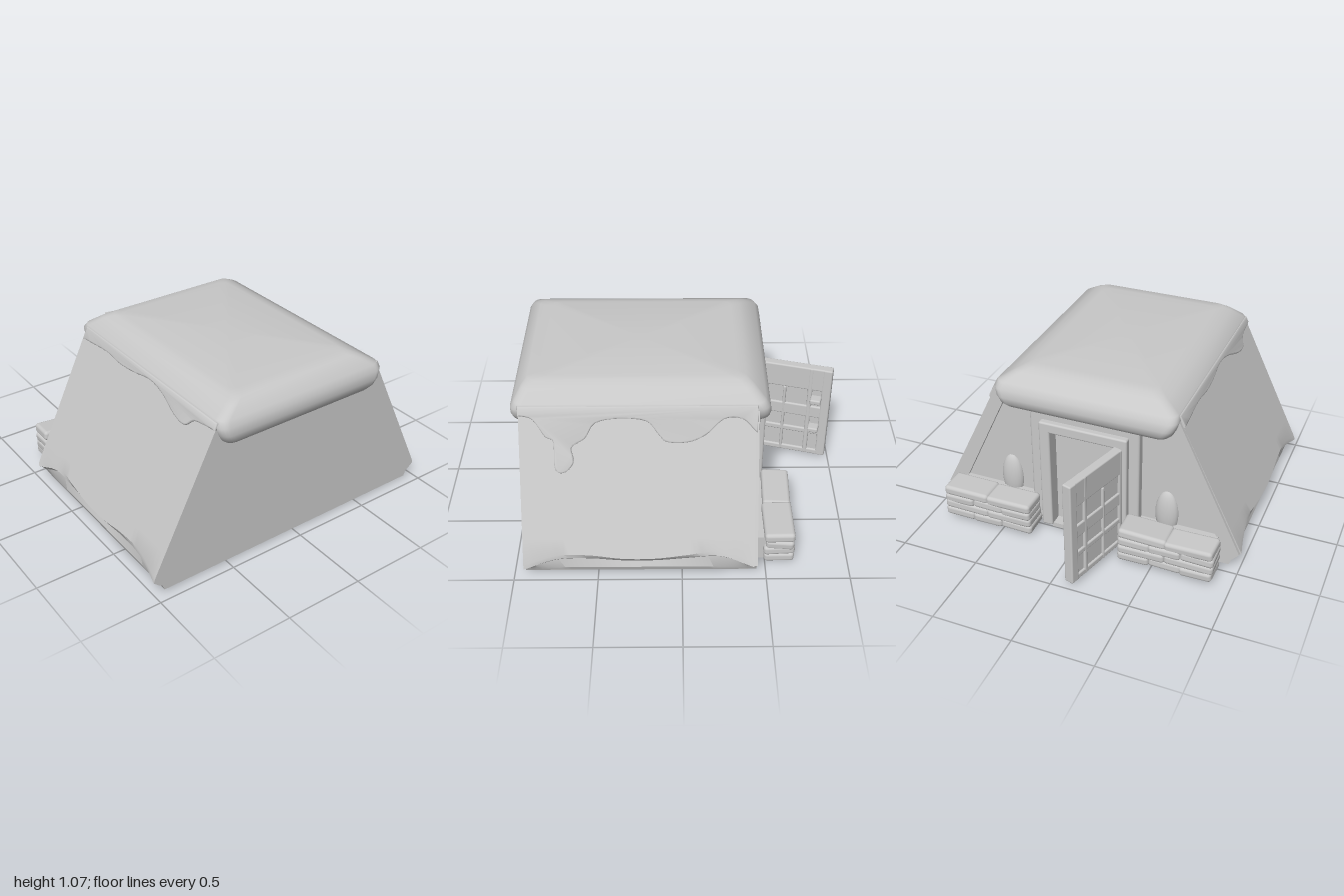
import * as THREE from 'three';
import { toCreasedNormals } from 'three/addons/utils/BufferGeometryUtils.js';
import { RoundedBoxGeometry } from 'three/addons/geometries/RoundedBoxGeometry.js';

const stone = new THREE.MeshStandardMaterial({ color: 0xc8c8c8 });
stone.name = 'pale grey';

function add(parent, name, geometry, x = 0, y = 0, z = 0) {
  const mesh = new THREE.Mesh(geometry, stone);
  mesh.name = name;
  mesh.position.set(x, y, z);
  parent.add(mesh);
  return mesh;
}

// Skin through closed rings, with both ends filled
function loft(rings, crease) {
  const n = rings[0].length, pos = rings.flat(2), index = [];
  for (let i = 0; i < rings.length - 1; i++) {
    for (let j = 0; j < n; j++) {
      const a = i * n + j, b = i * n + (j + 1) % n;
      index.push(a, a + n, b, b, a + n, b + n);
    }
  }
  [0, rings.length - 1].forEach((r, end) => {
    const centre = pos.length / 3;
    for (let k = 0; k < 3; k++) pos.push(rings[r].reduce((s, p) => s + p[k], 0) / n);
    for (let j = 0; j < n; j++) {
      const a = r * n + j, b = r * n + (j + 1) % n;
      if (end) index.push(centre, b, a);
      else index.push(centre, a, b);
    }
  });
  const g = new THREE.BufferGeometry();
  g.setAttribute('position', new THREE.Float32BufferAttribute(pos, 3));
  g.setIndex(index);
  return toCreasedNormals(g, crease);
}

// Sloping side wall, and the wavy groove near its foot
const sideX = (y) => 0.57 + (0.97 - y) * 0.494;
const groove = new THREE.SplineCurve([[0.93, 0.09], [0.8, 0.14], [0.6, 0.14], [0.4, 0.12], [0.2, 0.12],
  [0, 0.14], [-0.25, 0.16], [-0.44, 0.1]].map(([z, y]) => new THREE.Vector2(z, y)));

function section(t) {
  const g = groove.getPoint(t).y;
  const flare = 0.045 * Math.pow(Math.abs(2 * t - 1), 4);
  const half = [[0.93, 0.012], [0.945, 0.05], [0.93 + flare * 0.8, g - 0.03], [0.955 + flare, g],
    [sideX(g + 0.03), g + 0.03], [sideX(0.26), 0.26], [0.57, 0.97], [0.5, 1.0]];
  return [...half, ...half.slice().reverse().map(([x, y]) => [-x, y])];
}

// Rounded rectangle at one height
function capRing([y, hx, front, back, r]) {
  const ring = [];
  [[1, -1], [-1, -1], [-1, 1], [1, 1]].forEach(([sx, sz], q) => {
    const cx = sx * (hx - r), cz = sz > 0 ? front - r : back + r;
    for (let i = 0; i <= 5; i++) {
      const a = (q + i / 5) * Math.PI / 2;
      ring.push([cx + r * Math.cos(a), y, cz - r * Math.sin(a)]);
    }
  });
  return ring;
}

// Soft sheet hanging on the side wall; edge points are [z, y]
function drape(edge, side) {
  const curve = new THREE.SplineCurve(edge.map(([z, y]) => new THREE.Vector2(-side * z, y)));
  const pts = curve.getPoints(70);
  if (side < 0) pts.reverse();
  const first = pts[0].x, last = pts[pts.length - 1].x;
  const shape = new THREE.Shape([...pts, new THREE.Vector2(last, 0.965), new THREE.Vector2(first, 0.965)]);
  const g = new THREE.ExtrudeGeometry(shape, {
    depth: 0.006, bevelThickness: 0.008, bevelSize: 0.008, bevelSegments: 2,
  }).rotateY(Math.PI / 2);
  const p = g.attributes.position;
  for (let i = 0; i < p.count; i++) {
    const w = p.getX(i), y = p.getY(i);
    p.setXY(i, sideX(y) + w * 0.9, y + w * 0.44);
  }
  if (side < 0) g.rotateY(Math.PI);
  return toCreasedNormals(g, 0.9);
}

function sandbagPile(side) {
  const pile = new THREE.Group();
  pile.name = side > 0 ? 'leftSandbags' : 'rightSandbags';
  add(pile, 'pileCore', new THREE.BoxGeometry(0.53, 0.17, 0.2), side * 0.59, 0.115, -0.52);
  for (let row = 0; row < 4; row++) {
    const count = row % 2 ? 2 : 3, width = 0.59 / count;
    for (let i = 0; i < count; i++) {
      const k = Math.sin(row * 5.1 + i * 2.7 + side);
      const bag = add(pile, 'sandbag', new RoundedBoxGeometry(width + 0.01, 0.064, 0.18 + 0.014 * k, 3, 0.022),
        side * (0.295 + width * (i + 0.5)), 0.06 + row * 0.051, -0.582 + 0.008 * k);
      bag.rotation.set(k * 0.06, k * 0.05, k * 0.07);
    }
  }
  return pile;
}

function openDoor() {
  const door = new THREE.Group();
  door.name = 'openDoor';
  add(door, 'doorPanel', new THREE.BoxGeometry(0.47, 0.69, 0.034), 0.24, 0.38, 0);
  // Upright stiles: [centre, width, height]
  for (const [x, w, h] of [[0.015, 0.03, 0.7], [0.18, 0.02, 0.53], [0.345, 0.03, 0.7], [0.45, 0.06, 0.7]]) {
    add(door, 'stile', new RoundedBoxGeometry(w, h, 0.062, 2, 0.01), x, 0.03 + h / 2, 0);
  }
  // Cross rails: [bottom, top]
  for (const [a, b] of [[0.03, 0.07], [0.2, 0.24], [0.34, 0.43], [0.56, 0.73]]) {
    add(door, 'rail', new RoundedBoxGeometry(0.47, b - a, 0.058, 2, 0.01), 0.24, (a + b) / 2, 0);
  }
  for (const y of [0.27, 0.5]) {
    add(door, 'latch', new RoundedBoxGeometry(0.07, 0.035, 0.07, 2, 0.01), 0.39, y, 0.045);
  }
  door.position.set(-0.24, 0, -0.515);
  door.rotation.y = 1.3;
  return door;
}

export function createModel() {
  const model = new THREE.Group();
  model.name = 'bunker';

  // Main body, its rear end forming the back wall
  const rings = [];
  for (let i = 0; i <= 40; i++) {
    const t = i / 40;
    rings.push(section(t).map(([x, y]) => [x, y, 0.935 - 1.36 * t]));
  }
  add(model, 'body', loft(rings, 0.5));

  // Uneven patches under the base
  for (const [x, width] of [[-0.74, 0.34], [0, 0.6], [0.72, 0.4]]) {
    add(model, 'basePatch', new THREE.BoxGeometry(width, 0.03, 1.3), x, 0.015, 0.25);
  }

  // Raised rear corners, swellings, wide door surrounds and sandbags
  for (const s of [1, -1]) {
    const strip = [[0.93, 0.012], [0.945, 0.05], [0.99, 0.1], [0.57, 0.97], [0.48, 0.97], [0.87, 0.14], [0.83, 0.012]];
    const shape = new THREE.Shape(strip.map(([x, y]) => new THREE.Vector2(s * x, y)));
    add(model, 'rearCorner', new THREE.ExtrudeGeometry(shape, { depth: 0.03, bevelEnabled: false }), 0, 0, -0.445);
    const swelling = add(model, 'wallSwelling', new THREE.SphereGeometry(1, 20, 14), s * 0.52, 0.27, -0.42);
    swelling.scale.set(0.075, 0.16, 0.045);
    add(model, 'doorSurround', new RoundedBoxGeometry(0.13, 0.83, 0.08, 2, 0.015), s * 0.29, 0.43, -0.438);
    model.add(sandbagPile(s));
  }

  // Doorway frame with a shallow recess
  for (const x of [-0.255, 0.245]) {
    add(model, 'doorJamb', new RoundedBoxGeometry(0.07, 0.76, 0.11, 2, 0.012), x, 0.4, -0.462);
  }
  add(model, 'lintel', new RoundedBoxGeometry(0.57, 0.07, 0.11, 2, 0.012), -0.005, 0.75, -0.462);
  add(model, 'lintelBacking', new THREE.BoxGeometry(0.6, 0.12, 0.08), 0, 0.8, -0.438);
  add(model, 'doorSill', new THREE.BoxGeometry(0.44, 0.03, 0.1), -0.005, 0.017, -0.45);
  model.add(openDoor());

  // Thick soft roof: height, half width, front, back, corner radius
  add(model, 'roofCap', loft([
    [1.066, 0.4, 0.82, -0.32, 0.05], [1.058, 0.435, 0.895, -0.375, 0.05], [1.035, 0.485, 0.925, -0.42, 0.05],
    [0.985, 0.572, 0.965, -0.485, 0.06], [0.95, 0.585, 0.985, -0.51, 0.06], [0.9, 0.57, 0.99, -0.52, 0.06],
    [0.86, 0.55, 0.982, -0.515, 0.06], [0.83, 0.525, 0.96, -0.49, 0.06], [0.82, 0.5, 0.92, -0.42, 0.06],
  ].map(capRing), 1.0));

  // Uneven edges hanging down both sides
  add(model, 'leftRoofDrape', drape([[0.93, 0.93], [0.85, 0.91], [0.78, 0.82], [0.73, 0.79], [0.725, 0.65],
    [0.68, 0.63], [0.63, 0.68], [0.64, 0.76], [0.56, 0.81], [0.5, 0.89], [0.36, 0.915], [0.2, 0.9],
    [0.13, 0.83], [0.08, 0.79], [-0.04, 0.79], [-0.14, 0.83], [-0.24, 0.91], [-0.35, 0.91], [-0.43, 0.84]], 1));
  add(model, 'rightRoofDrape', drape([[0.93, 0.94], [0.77, 0.92], [0.7, 0.87], [0.6, 0.88], [0.45, 0.93],
    [0.3, 0.95], [0.15, 0.93], [0, 0.92], [-0.15, 0.93], [-0.3, 0.92], [-0.42, 0.91]], -1));

  return model;
}
